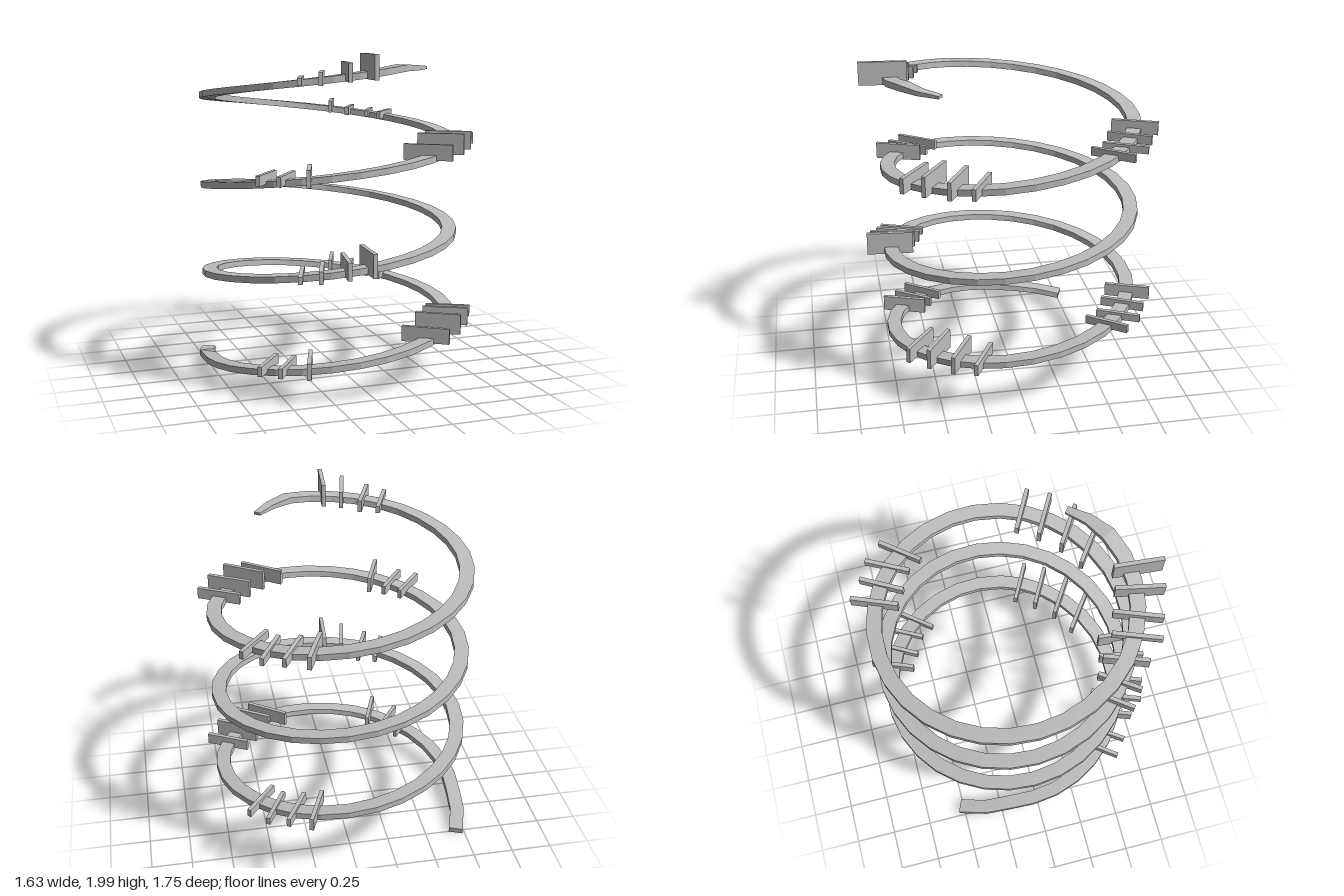
import * as THREE from 'three';

const grey = new THREE.MeshStandardMaterial({ color: 0xbebebe });
grey.name = 'plain grey';

const CX = -0.017, CZ = -0.03, RADIUS = 0.755, PITCH = 0.55;
const START = 216, STEP = 12, STEPS = 104, END = START - STEP * STEPS;

// centre line of the spiral; the angle falls as the track climbs
function trackPoint(angle) {
  const a = THREE.MathUtils.degToRad(angle);
  const flare = Math.max(0, (angle - 190) / 26);
  const curl = Math.max(0, 1 - (angle - END) / 92);
  const droop = Math.max(0, 1 - (angle - END) / 24);
  const r = RADIUS + 0.08 * flare - 0.12 * curl * curl;
  const y = 0.1 + ((180 - angle) / 360) * PITCH - 0.02 * flare - 0.045 * droop;
  return new THREE.Vector3(CX + r * Math.cos(a), y, CZ + r * Math.sin(a));
}

// rectangular section swept along the spiral, thinning at the upper tip
function trackGeometry() {
  const rings = [];
  const up = new THREE.Vector3(0, 1, 0);
  for (let i = 0; i <= STEPS; i++) {
    const angle = START - i * STEP;
    const tangent = trackPoint(Math.max(END, angle - 4)).sub(trackPoint(Math.min(START, angle + 4))).normalize();
    const side = new THREE.Vector3().crossVectors(tangent, up).normalize();
    const normal = new THREE.Vector3().crossVectors(side, tangent);
    const taper = Math.max(0, 1 - (angle - END) / 24);
    const w = 0.044 * (1 - 0.5 * taper), h = 0.019 * (1 - 0.55 * taper);
    rings.push([[1, 1], [-1, 1], [-1, -1], [1, -1]].map(([s, n]) =>
      trackPoint(angle).addScaledVector(side, s * w).addScaledVector(normal, n * h)));
  }
  const pos = [];
  const quad = (a, b, c, d) => [a, b, c, a, c, d].forEach((p) => pos.push(p.x, p.y, p.z));
  for (let i = 0; i < STEPS; i++) {
    for (let j = 0; j < 4; j++) {
      const k = (j + 1) % 4;
      quad(rings[i][j], rings[i + 1][j], rings[i + 1][k], rings[i][k]);
    }
  }
  quad(...rings[0]);
  quad(...[...rings[STEPS]].reverse());
  const g = new THREE.BufferGeometry();
  g.setAttribute('position', new THREE.Float32BufferAttribute(pos, 3));
  g.computeVertexNormals();
  return g;
}

// upright plate between two plan points: x1, z1, x2, z2, bottom, top
function plate(name, [x1, z1, x2, z2, y0, y1]) {
  const length = Math.hypot(x2 - x1, z2 - z1);
  const mesh = new THREE.Mesh(new THREE.BoxGeometry(length, y1 - y0, 0.025), grey);
  mesh.position.set((x1 + x2) / 2, (y0 + y1) / 2, (z1 + z2) / 2);
  mesh.rotation.y = -Math.atan2(z2 - z1, x2 - x1);
  mesh.name = name;
  return mesh;
}

const plateSets = {
  lowFrontPlate: [
    [-0.655, 0.595, -0.49, 0.375, 0.17, 0.23],
    [-0.555, 0.67, -0.4, 0.445, 0.17, 0.23],
    [-0.41, 0.76, -0.315, 0.495, 0.17, 0.27],
  ],
  rightPlate: [
    [0.26, 0.515, 0.495, 0.685, 0.275, 0.37],
    [0.385, 0.425, 0.62, 0.575, 0.295, 0.42],
    [0.485, 0.31, 0.73, 0.445, 0.31, 0.42],
    [0.56, 0.19, 0.805, 0.32, 0.33, 0.4],
  ],
  backPlate: [
    [0.195, -0.61, 0.3, -0.87, 0.465, 0.545],
    [0.295, -0.56, 0.425, -0.795, 0.45, 0.505],
    [0.415, -0.5, 0.54, -0.74, 0.44, 0.485],
    [0.47, -0.42, 0.64, -0.635, 0.43, 0.48],
  ],
  highFrontPlate: [
    [-0.46, 0.755, -0.36, 0.49, 0.73, 0.775],
    [-0.35, 0.79, -0.25, 0.525, 0.73, 0.805],
    [-0.195, 0.84, -0.14, 0.565, 0.75, 0.855],
    [-0.055, 0.87, -0.032, 0.585, 0.76, 0.9],
  ],
};

export function createModel() {
  const group = new THREE.Group();
  group.name = 'spiralTrack';

  const track = new THREE.Mesh(trackGeometry(), grey);
  track.name = 'spiralBand';
  group.add(track);

  // the same plates repeat two turns higher
  ['lower', 'upper'].forEach((level, n) => {
    const tier = new THREE.Group();
    tier.name = level + 'Plates';
    tier.position.y = n * 2 * PITCH;
    for (const [name, rows] of Object.entries(plateSets)) {
      rows.forEach((row, i) => tier.add(plate(name + (i + 1), row)));
    }
    group.add(tier);
  });
  return group;
}
